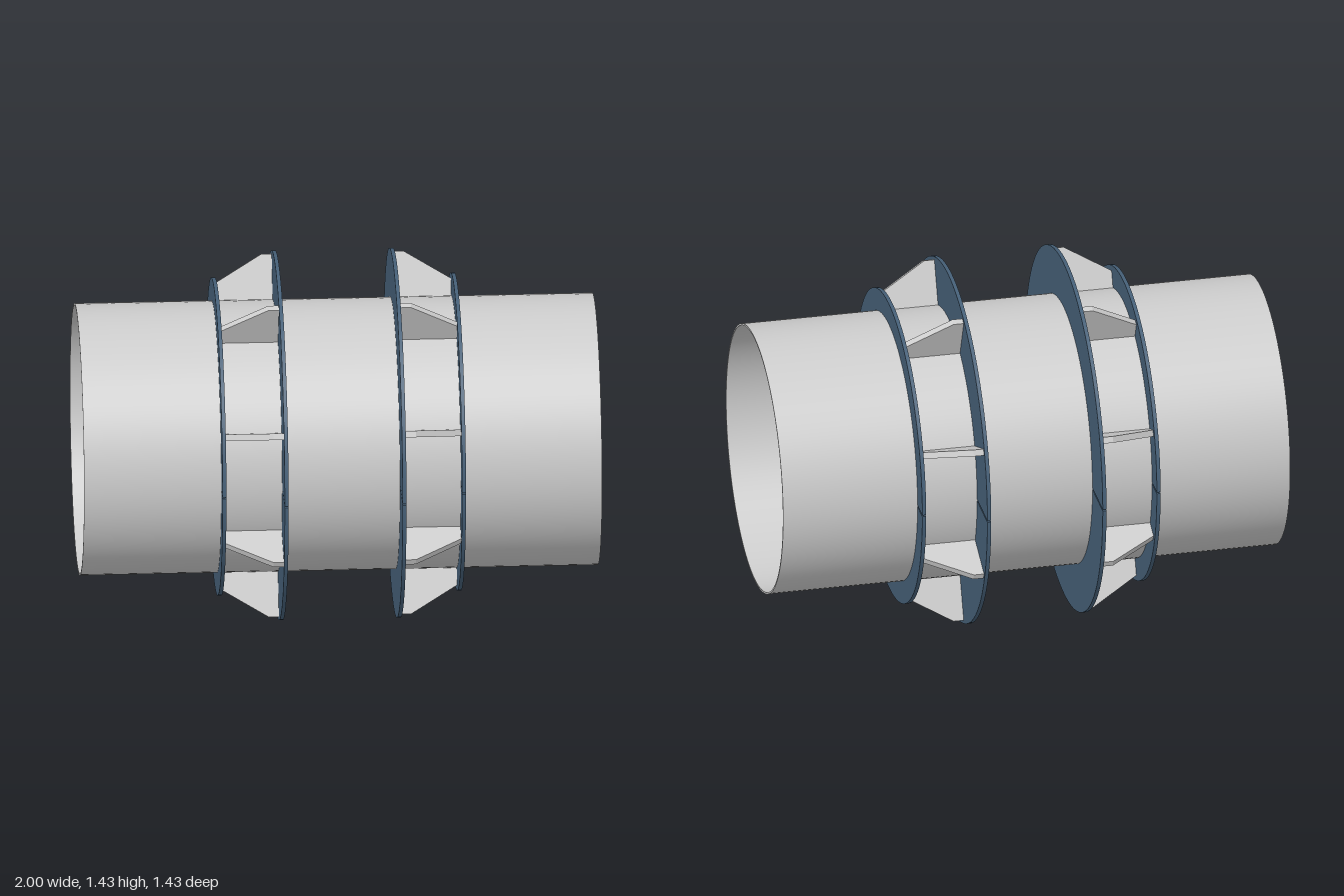
import * as THREE from 'three';
import { toCreasedNormals } from 'three/addons/utils/BufferGeometryUtils.js';

const AXIS_Y = 0.713;   // height of the pipe axis
const PIPE_R = 0.525;
const PIPE_INNER = 0.518;

const grey = new THREE.MeshStandardMaterial({ color: 0xcccccc });
const blue = new THREE.MeshStandardMaterial({ color: 0x466078 });

function part(name, geometry, material) {
  const mesh = new THREE.Mesh(geometry, material);
  mesh.name = name;
  return mesh;
}

// Half of a flat ring around the x axis, with a narrow gap at its ends
function halfRing(outer, inner, x, thickness) {
  const gap = 0.003;
  const ao = Math.asin(gap / outer), ai = Math.asin(gap / inner);
  const shape = new THREE.Shape();
  shape.absarc(0, 0, outer, ao, Math.PI - ao, false);
  shape.absarc(0, 0, inner, Math.PI - ai, ai, true);
  shape.closePath();
  const geo = new THREE.ExtrudeGeometry(shape, { depth: thickness, bevelEnabled: false, curveSegments: 32 });
  geo.rotateY(Math.PI / 2);
  geo.translate(x, 0, 0);
  return toCreasedNormals(geo, 0.5);
}

// Tapered stiffener plate between the two flanges, standing on the pipe
function gussetGeometry() {
  const thickness = 0.025;
  const shape = new THREE.Shape([
    [0.235, 0.522], [0.455, 0.522], [0.455, 0.592], [0.275, 0.7], [0.235, 0.7],
  ].map(([x, r]) => new THREE.Vector2(x, r)));
  const geo = new THREE.ExtrudeGeometry(shape, { depth: thickness, bevelEnabled: false });
  geo.translate(0, 0, -thickness / 2);
  return geo;
}

export function createModel() {
  const model = new THREE.Group();
  model.name = 'flangedPipeSleeve';
  const body = new THREE.Group();
  body.name = 'body';
  body.position.y = AXIS_Y;
  model.add(body);

  // Open pipe with a thin wall
  const wall = [[PIPE_INNER, -1], [PIPE_R, -1], [PIPE_R, 1], [PIPE_INNER, 1], [PIPE_INNER, -1]];
  const pipeGeo = new THREE.LatheGeometry(wall.map(([r, y]) => new THREE.Vector2(r, y)), 96);
  pipeGeo.rotateZ(-Math.PI / 2);
  body.add(part('pipe', toCreasedNormals(pipeGeo, 0.5), grey));

  // Each collar: a large inner flange, a small outer flange and eight gussets
  const largeHalf = halfRing(0.713, 0.524, 0.22, 0.015);
  const smallHalf = halfRing(0.613, 0.524, 0.455, 0.015);
  const gusset = gussetGeometry();
  for (const [name, turn] of [['leftCollar', 0], ['rightCollar', Math.PI]]) {
    const collar = new THREE.Group();
    collar.name = name;
    collar.rotation.y = turn;
    for (const [half, tilt] of [['upper', 0], ['lower', Math.PI]]) {
      const large = part(half + 'LargeFlange', largeHalf, blue);
      const small = part(half + 'SmallFlange', smallHalf, blue);
      large.rotation.x = small.rotation.x = tilt;
      collar.add(large, small);
    }
    for (let i = 0; i < 8; i++) {
      const plate = part('gusset', gusset, grey);
      plate.rotation.x = (i + 0.5) * Math.PI / 4;
      collar.add(plate);
    }
    body.add(collar);
  }
  return model;
}
